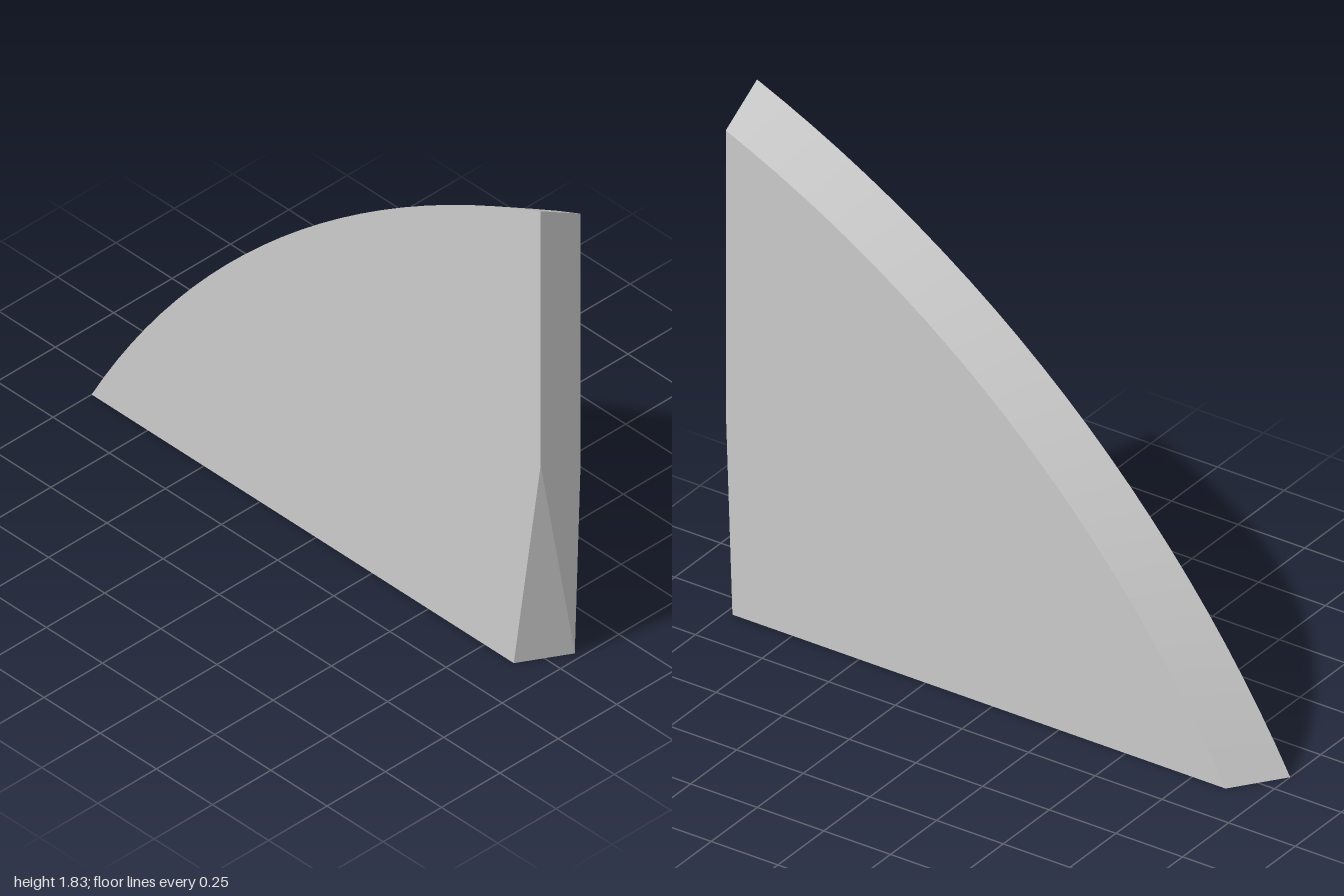
import * as THREE from 'three';
import { toCreasedNormals } from 'three/addons/utils/BufferGeometryUtils.js';

const HALF_WIDTH = 0.085;
const ARC_STEPS = 24;

// Circular arc from a to c passing through b; points are [z, y]
function arcThrough(a, b, c) {
  const [ax, ay] = a, [bx, by] = b, [cx, cy] = c;
  const d = 2 * (ax * (by - cy) + bx * (cy - ay) + cx * (ay - by));
  const a2 = ax * ax + ay * ay, b2 = bx * bx + by * by, c2 = cx * cx + cy * cy;
  const ox = (a2 * (by - cy) + b2 * (cy - ay) + c2 * (ay - by)) / d;
  const oy = (a2 * (cx - bx) + b2 * (ax - cx) + c2 * (bx - ax)) / d;
  const r = Math.hypot(ax - ox, ay - oy);
  const start = Math.atan2(ay - oy, ax - ox);
  const end = Math.atan2(cy - oy, cx - ox);
  const sweep = THREE.MathUtils.euclideanModulo(end - start, Math.PI * 2);
  return Array.from({ length: ARC_STEPS + 1 }, (_, i) => {
    const t = start + (sweep * i) / ARC_STEPS;
    return [ox + r * Math.cos(t), oy + r * Math.sin(t)];
  });
}

// Solid between two matching side outlines, at -x and +x
function loftSides(outer, inner) {
  const n = outer.length;
  const positions = [];
  for (const [z, y] of outer) positions.push(-HALF_WIDTH, y, z);
  for (const [z, y] of inner) positions.push(HALF_WIDTH, y, z);
  const index = [];
  // Flat side faces
  for (let i = 1; i < n - 1; i++) {
    index.push(0, i, i + 1, n, n + i + 1, n + i);
  }
  // Rim: front, sloping curved edge and base
  for (let i = 0; i < n; i++) {
    const j = (i + 1) % n;
    index.push(i, n + i, j, n + i, n + j, j);
  }
  const geometry = new THREE.BufferGeometry();
  geometry.setAttribute('position', new THREE.Float32BufferAttribute(positions, 3));
  geometry.setIndex(index);
  return toCreasedNormals(geometry, 0.06);
}

export function createModel() {
  const group = new THREE.Group();
  group.name = 'curvedFin';

  // Each outline: bottom front, bend in the front edge, then the curved edge
  const outer = [[0.88, 0], [1, 0.84], ...arcThrough([1, 1.83], [0, 1.22], [-1, 0])];
  const inner = [[0.975, 0], [1, 0.73], ...arcThrough([1, 1.73], [0, 1.1], [-0.875, 0])];

  const fin = new THREE.Mesh(
    loftSides(outer, inner),
    new THREE.MeshStandardMaterial({ color: 0xcccccc })
  );
  fin.name = 'finPanel';
  group.add(fin);
  return group;
}
